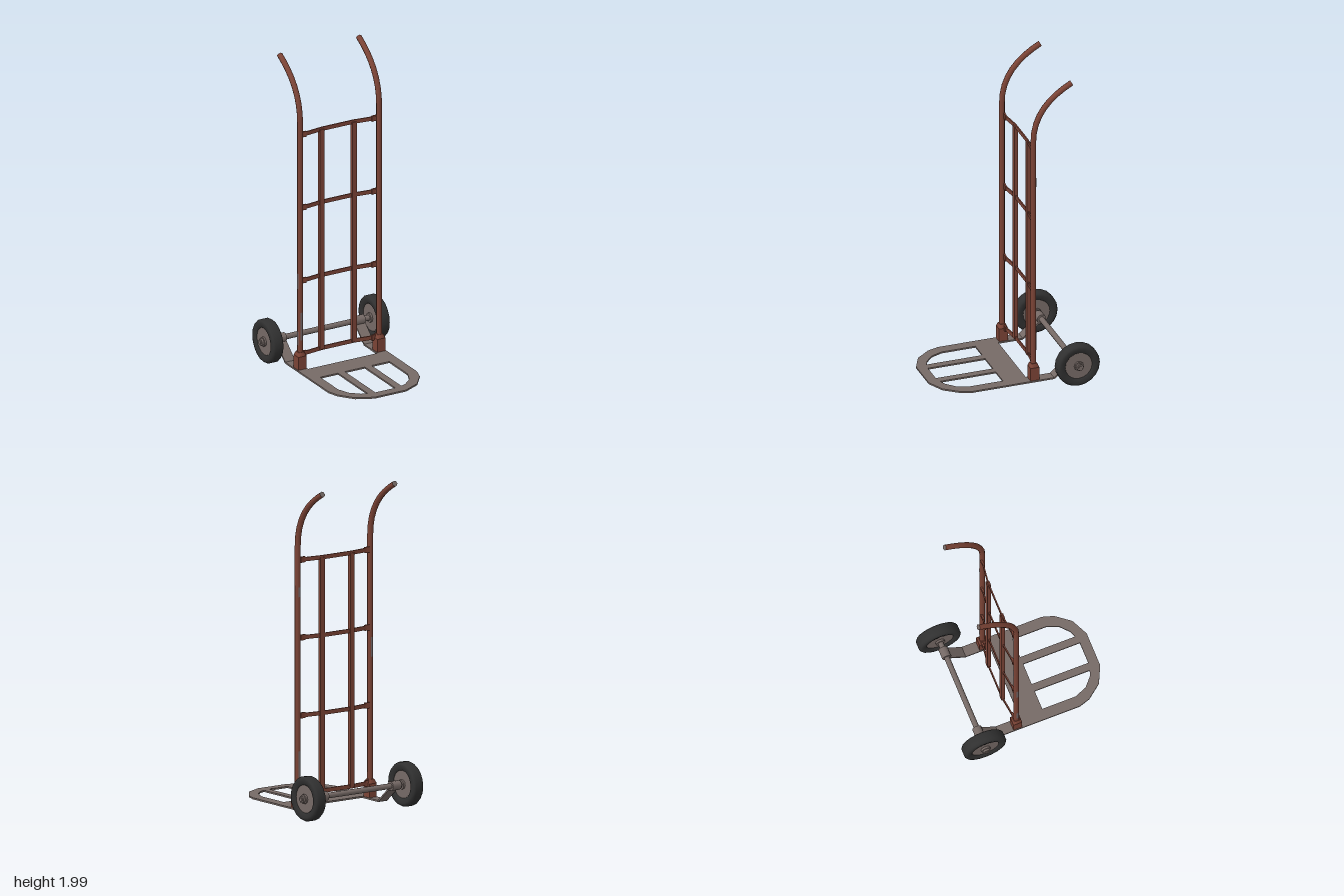
import * as THREE from 'three';

const MID = -0.011; // centre line of the frame in x
const AXLE_Y = 0.14, AXLE_Z = -0.358;

function material(name, color, double = false) {
  const m = new THREE.MeshStandardMaterial({ color });
  m.name = name;
  if (double) m.side = THREE.DoubleSide;
  return m;
}

export function createModel() {
  const model = new THREE.Group();
  model.name = 'handTruck';
  const rust = material('rustyPaint', 0x7c4436);
  const steel = material('bareSteel', 0x766a66);
  const worn = material('wornPatch', 0x74696a, true);
  const rubber = material('blackRubber', 0x303030);

  function add(name, geometry, mat, x = 0, y = 0, z = 0, parent = model) {
    const mesh = new THREE.Mesh(geometry, mat);
    mesh.name = name;
    mesh.position.set(x, y, z);
    parent.add(mesh);
    return mesh;
  }
  const mirror = pts => pts.map(([x, z]) => [2 * MID - x, z]).reverse();
  const toVectors = pts => pts.map(([x, z]) => new THREE.Vector2(x, -z));

  // Extrudes an x/z outline upward from y
  function slab(name, outline, holes, y, height, mat) {
    const shape = new THREE.Shape(toVectors(outline));
    holes.forEach(h => shape.holes.push(new THREE.Path(toVectors(h))));
    const g = new THREE.ExtrudeGeometry(shape, { depth: height, bevelEnabled: false });
    g.rotateX(-Math.PI / 2);
    return add(name, g, mat, 0, y, 0);
  }

  // Toe plate: rounded loop, cross plate, two bars and two rear arms
  const half = [[-0.25, -0.08], [-0.25, -0.24], [-0.317, -0.24], [-0.317, 0.28],
    [-0.295, 0.35], [-0.225, 0.44], [-0.12, 0.49]];
  const sideHole = [[-0.25, 0.065], [-0.127, 0.065], [-0.127, 0.42],
    [-0.165, 0.405], [-0.22, 0.355], [-0.25, 0.28]];
  const middleHole = [[-0.08, 0.065], [0.058, 0.065], [0.058, 0.43], [-0.08, 0.43]];
  slab('toePlate', [...half, ...mirror(half)], [sideHole, middleHole, mirror(sideHole)], 0.024, 0.01, steel);

  // Axle
  const axle = new THREE.CylinderGeometry(0.017, 0.017, 0.8, 10).rotateZ(Math.PI / 2);
  add('axle', axle, steel, 0, AXLE_Y, AXLE_Z);

  // Handle bend
  const bend = new THREE.CubicBezierCurve3(
    new THREE.Vector3(0, 1.63, -0.117), new THREE.Vector3(0, 1.82, -0.117),
    new THREE.Vector3(0, 1.92, -0.24), new THREE.Vector3(0, 1.982, -0.36));
  const bendGeometry = new THREE.TubeGeometry(bend, 8, 0.018, 8);

  for (const side of [-1, 1]) {
    const label = side > 0 ? 'left' : 'right';
    const railX = MID + side * 0.273;
    const armX = MID + side * 0.2725;

    // Upright rail with curved handle
    add(label + 'Rail', new THREE.CylinderGeometry(0.018, 0.018, 1.6, 8), rust, railX, 0.83, -0.117);
    add(label + 'Handle', bendGeometry, rust, railX);
    const cap = add(label + 'HandleCap', new THREE.CircleGeometry(0.018, 8), steel, railX, 1.982, -0.36);
    cap.lookAt(cap.position.clone().add(bend.getTangent(1)));

    // Socket at the foot of the rail
    add(label + 'Socket', new THREE.BoxGeometry(0.056, 0.085, 0.056), rust, railX, 0.075, -0.117);
    const neck = new THREE.CylinderGeometry(0.026, 0.039, 0.025, 4).rotateY(Math.PI / 4);
    add(label + 'SocketNeck', neck, rust, railX, 0.13, -0.117);

    // Sloping arm and sleeve that carry the axle
    const rise = 0.1, run = 0.115;
    const arm = add(label + 'AxleArm', new THREE.BoxGeometry(0.067, 0.01, Math.hypot(rise, run)),
      steel, armX, 0.029 + rise / 2, -0.238 - run / 2);
    arm.rotation.x = Math.atan2(rise, run);
    const sleeve = new THREE.CylinderGeometry(0.029, 0.029, 0.064, 10).rotateZ(Math.PI / 2);
    add(label + 'AxleSleeve', sleeve, steel, armX, AXLE_Y, AXLE_Z);

    // Wheel: tyre, hub, collar and nut
    const wheel = new THREE.Group();
    wheel.name = label + 'Wheel';
    wheel.position.set(side * 0.367, AXLE_Y, AXLE_Z);
    model.add(wheel);
    const tyreProfile = [[0.085, -0.026], [0.092, -0.034], [0.115, -0.038], [0.128, -0.034],
      [0.136, -0.022], [0.136, 0.022], [0.128, 0.034], [0.115, 0.038], [0.092, 0.034], [0.085, 0.026]]
      .map(([r, w]) => new THREE.Vector2(r, w));
    add('tyre', new THREE.LatheGeometry(tyreProfile, 20).rotateZ(Math.PI / 2), rubber, 0, 0, 0, wheel);
    const disc = (name, r, w, n, x) =>
      add(name, new THREE.CylinderGeometry(r, r, w, n).rotateZ(Math.PI / 2), steel, x, 0, 0, wheel);
    disc('hub', 0.087, 0.052, 20, 0);
    disc('hubCollar', 0.03, 0.076, 10, 0);
    disc('axleNut', 0.023, 0.016, 6, side * 0.044);
    disc('axleEnd', 0.012, 0.014, 8, side * 0.051);

    // Inner upright
    add(label + 'InnerUpright', new THREE.BoxGeometry(0.031, 1.43, 0.022), rust, MID + side * 0.112, 0.83, -0.142);
  }

  // Rungs: flat bars bowed to the back, with weld collars at the rails
  const back = [[-0.268, -0.128], [-0.122, -0.147]];
  const front = [[-0.122, -0.139], [-0.268, -0.12]];
  [0.12, 0.595, 1.07, 1.545].forEach((y, i) => {
    slab('rung' + (i + 1), [...back, ...mirror(back), ...mirror(front), ...front], [], y - 0.0125, 0.025, rust);
    for (const side of [-1, 1]) {
      const collar = add('rungCollar', new THREE.BoxGeometry(0.035, 0.035, 0.011),
        rust, MID + side * 0.243, y, -0.1265);
      collar.rotation.y = side * 0.12;
    }
  });

  // Worn paint patches on the rails: side, height, length, start angle
  const patches = [[-1, 0.31, 0.18, -0.4], [-1, 0.6, 0.1, -1.9], [-1, 0.23, 0.09, -1.9],
    [-1, 0.95, 0.12, 2.75], [1, 0.3, 0.16, 2.75], [1, 1.35, 0.06, 2.75]];
  for (const [side, y, length, angle] of patches) {
    const g = new THREE.CylinderGeometry(0.0186, 0.0186, length, 2, 1, true, angle, 0.8);
    add('wornPatch', g, worn, MID + side * 0.273, y, -0.117);
  }
  return model;
}
